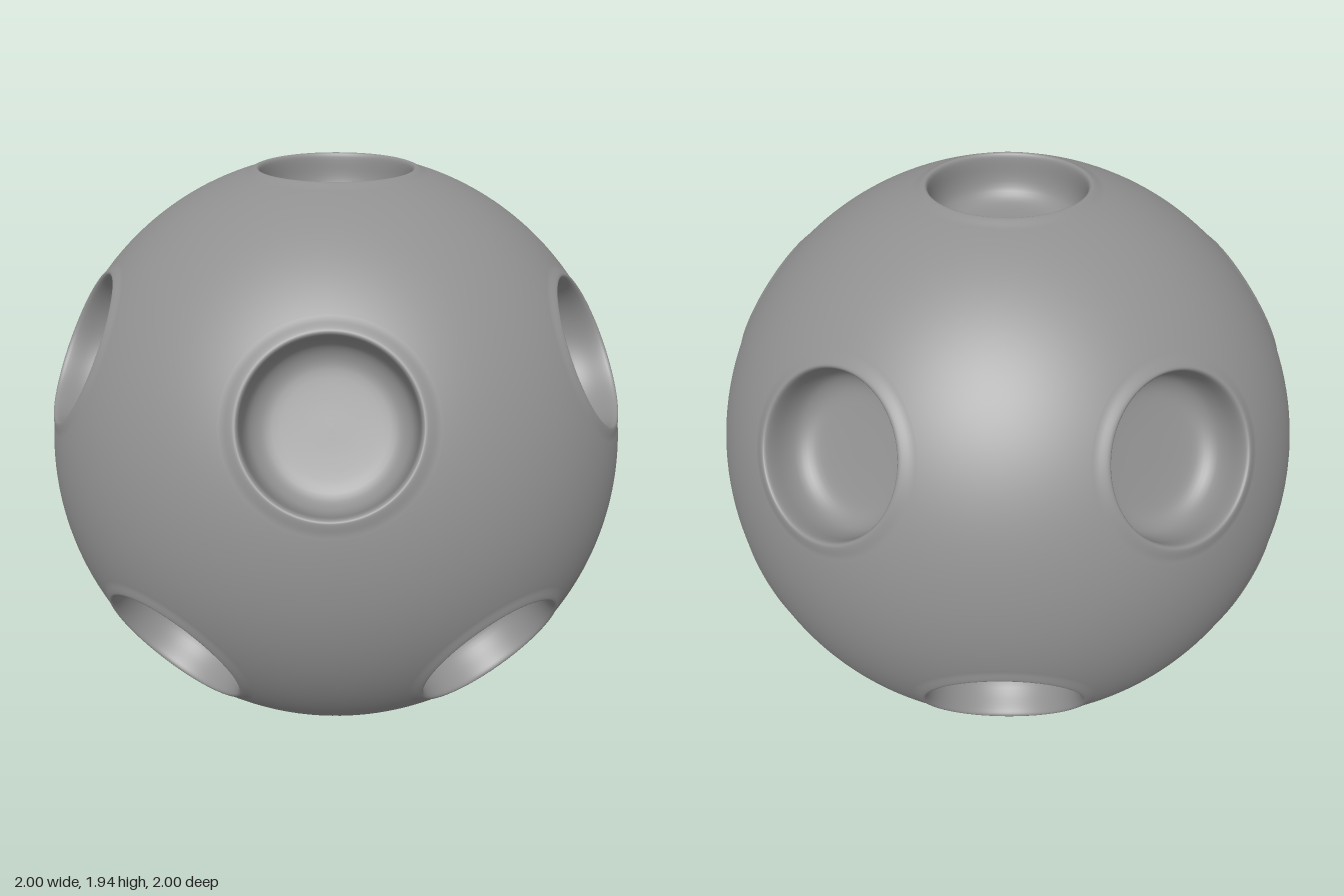
import * as THREE from 'three';

const PATCH_R = 0.31;                           // radius where shell and pocket meet
const LIP_Y = 0.97;                             // distance of the lip crest from the centre
const SIDES = 100, RINGS = 10;
const HALF_GAP = Math.atan(2) / 2;              // half the angle between neighbouring pockets

// Spherical pentagon around +y with a round hole; one edge midpoint lies towards +x.
function shellPatch() {
  const pos = [], idx = [], side = SIDES / 5;
  const inner = Math.asin(PATCH_R);
  for (let r = 0; r <= RINGS; r++) {
    for (let i = 0; i <= SIDES; i++) {
      const phi = (i / SIDES) * Math.PI * 2;
      const k = i - SIDES / 4;
      const delta = ((k - Math.round(k / side) * side) / SIDES) * Math.PI * 2;
      const outer = Math.atan(Math.tan(HALF_GAP) / Math.cos(delta));
      const t = inner + (outer - inner) * (r / RINGS);
      pos.push(Math.sin(t) * Math.sin(phi), Math.cos(t), Math.sin(t) * Math.cos(phi));
      if (r < RINGS && i < SIDES) {
        const a = r * (SIDES + 1) + i, b = a + SIDES + 1;
        idx.push(a, b, b + 1, a, b + 1, a + 1);
      }
    }
  }
  const g = new THREE.BufferGeometry();
  g.setAttribute('position', new THREE.Float32BufferAttribute(pos, 3));
  g.setAttribute('normal', new THREE.Float32BufferAttribute(pos, 3)); // unit sphere
  g.setIndex(idx);
  return g;
}

// Soft raised lip, steep wall, rounded bottom edge and slightly dished floor.
function pocketCup() {
  const profile = [
    [PATCH_R, Math.sqrt(1 - PATCH_R * PATCH_R)], [0.295, 0.9555], [0.28, 0.963],
    [0.268, 0.9685], [0.26, LIP_Y], [0.254, 0.966], [0.25, 0.955],
    [0.248, 0.93], [0.246, 0.895], [0.238, 0.859], [0.222, 0.836],
    [0.2, 0.82], [0.17, 0.811], [0.12, 0.807], [0.06, 0.805], [0, 0.805],
  ].map(([r, y]) => new THREE.Vector2(r, y));
  const curve = new THREE.SplineCurve(profile);
  return new THREE.LatheGeometry(curve.getPoints((profile.length - 1) * 2), SIDES);
}

export function createModel() {
  const model = new THREE.Group();
  model.name = 'pocketedBall';
  const material = new THREE.MeshStandardMaterial({ color: 0x909090 });
  const shell = shellPatch(), cup = pocketCup();

  // Twelve pocket axes: each pole with its ring of five, each paired with a neighbour.
  const up = new THREE.Vector3(0, 1, 0);
  const ring = [];
  for (let k = 0; k < 5; k++) {
    const a = (36 + 72 * k) * Math.PI / 180;
    ring.push(new THREE.Vector3(2 * Math.cos(a), 1, 2 * Math.sin(a)).normalize());
  }
  const axes = [[up, ring[0]], ...ring.map((v) => [v, up])];

  for (const s of [1, -1]) {
    axes.forEach(([axis, neighbour], n) => {
      const y = axis.clone().multiplyScalar(s);
      const x = neighbour.clone().multiplyScalar(s);
      x.addScaledVector(y, -x.dot(y)).normalize();
      const z = x.clone().cross(y);
      const sector = new THREE.Group();
      sector.name = `${s > 0 ? 'upper' : 'lower'}Sector${n}`;
      sector.quaternion.setFromRotationMatrix(new THREE.Matrix4().makeBasis(x, y, z));
      sector.position.y = LIP_Y;
      const shellMesh = new THREE.Mesh(shell, material);
      shellMesh.name = 'shell';
      const pocketMesh = new THREE.Mesh(cup, material);
      pocketMesh.name = 'pocket';
      sector.add(shellMesh, pocketMesh);
      model.add(sector);
    });
  }
  return model;
}
